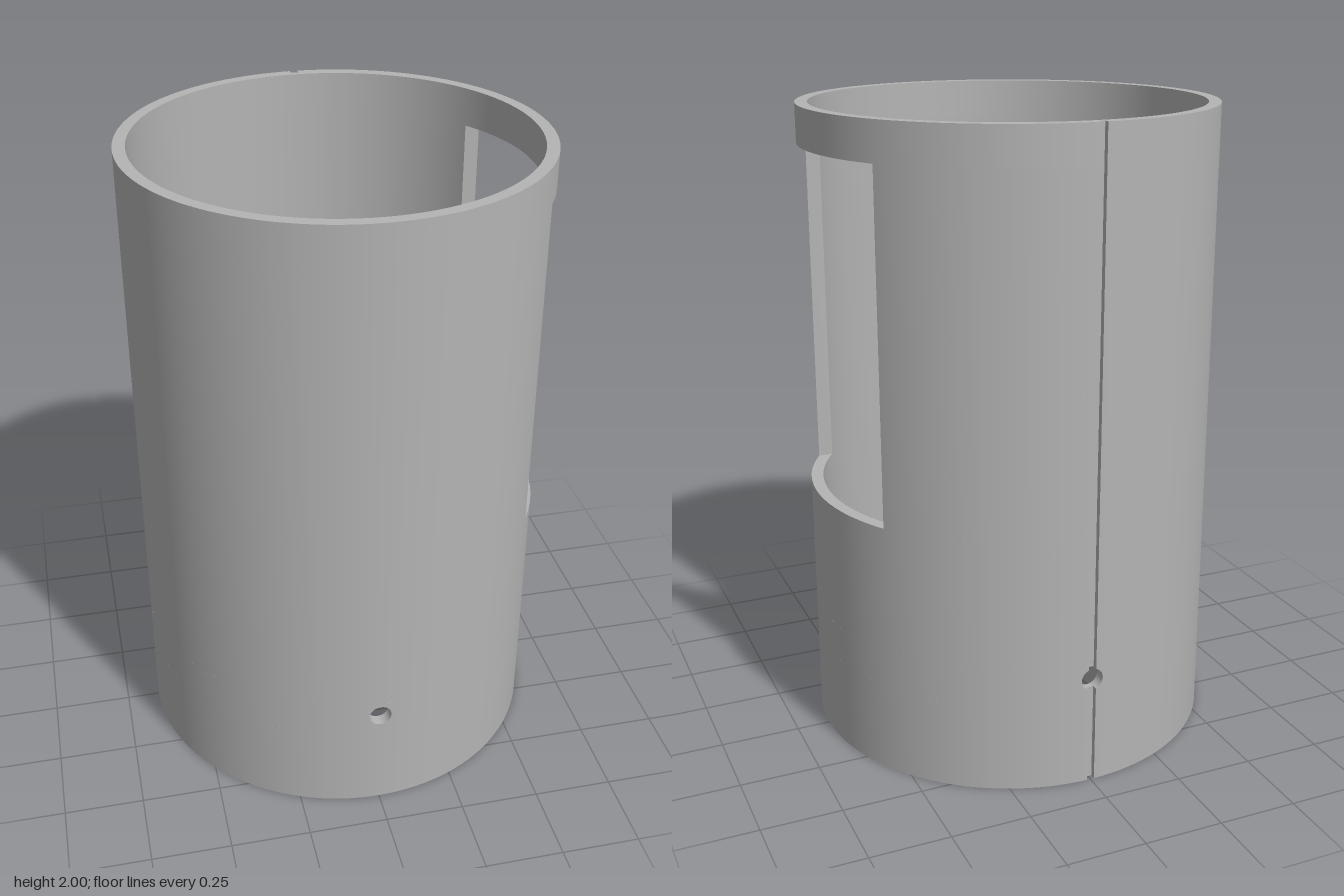
import * as THREE from 'three';
import { mergeGeometries } from 'three/addons/utils/BufferGeometryUtils.js';

const R = 0.643, RI = 0.605, LIP = 0.57;        // outer, inner and lip radii
const SLOT = 0.012, SLOT_R = 0.625;             // slot half width and floor radius
const WIN = 0.34;                               // window half width
const HOLE_R = 0.035, HOLE_Y = 0.345, PW = 0.06; // pin holes and their panels
const Y0 = HOLE_Y - PW, Y1 = HOLE_Y + PW;

const V = (x, y) => new THREE.Vector2(x, y);

function arc(r, a0, a1) {
  const n = Math.max(2, Math.ceil(Math.abs(a1 - a0) / (Math.PI * 2) * 128));
  return Array.from({ length: n + 1 }, (_, i) => {
    const a = a0 + (a1 - a0) * i / n;
    return V(r * Math.cos(a), r * Math.sin(a));
  });
}

// Gives curved walls true radial normals so that they shade smoothly
function smoothWalls(geo) {
  const p = geo.attributes.position, n = geo.attributes.normal;
  for (let i = 0; i < p.count; i++) {
    const l = Math.hypot(p.getX(i), p.getZ(i));
    const x = p.getX(i) / l, z = p.getZ(i) / l;
    const d = n.getX(i) * x + n.getZ(i) * z;
    if (Math.abs(d) > 0.9) n.setXYZ(i, x * Math.sign(d), 0, z * Math.sign(d));
  }
  return geo;
}

// Extrudes a plan outline upwards from y0 to y1
function layer(shape, y0, y1) {
  const g = new THREE.ExtrudeGeometry(shape, { depth: y1 - y0, bevelEnabled: false });
  g.rotateX(-Math.PI / 2).translate(0, y0, 0);
  return smoothWalls(g);
}

// Full ring whose outside is notched by the slot at the back
function ring(ri) {
  const d = Math.asin(SLOT / R), q = Math.PI / 2;
  const s = new THREE.Shape([...arc(R, q + d, q + Math.PI * 2 - d), V(SLOT, SLOT_R), V(-SLOT, SLOT_R)]);
  s.holes.push(new THREE.Path(arc(ri, 0, Math.PI * 2).slice(0, -1)));
  return s;
}

// Ring open at the window, with straight parallel cut sides
function windowRing() {
  const a = Math.asin(WIN / R), b = Math.asin(WIN / RI);
  const d = Math.asin(SLOT / R), q = Math.PI / 2, t = Math.PI * 2;
  return new THREE.Shape([
    ...arc(R, a, q - d), V(SLOT, SLOT_R), V(-SLOT, SLOT_R), ...arc(R, q + d, t - a),
    ...arc(RI, t - b, b),
  ]);
}

// Half ring on one side, leaving room for the drilled panels
function sideArc(turn) {
  const a = Math.PI / 2 - Math.asin(PW / R), b = Math.PI / 2 - Math.asin(PW / RI);
  return new THREE.Shape([...arc(R, turn - a, turn + a), ...arc(RI, turn + b, turn - b)]);
}

// Bends an upright panel around the axis between two radii
function panel(shape, r0, r1) {
  const g = new THREE.ExtrudeGeometry(shape, { depth: 1, bevelEnabled: false });
  const p = g.attributes.position;
  for (let i = 0; i < p.count; i++) {
    const r = p.getZ(i) > 0.5 ? r1 : r0;
    p.setZ(i, Math.sqrt(r * r - p.getX(i) ** 2));
  }
  g.computeVertexNormals();
  return smoothWalls(g);
}

// Panel outline with a round hole
function drilled() {
  const xs = [-1, -0.5, 0, 0.5, 1].map((k) => k * PW);
  const s = new THREE.Shape([...xs.map((x) => V(x, Y0)), ...xs.reverse().map((x) => V(x, Y1))]);
  const hole = arc(HOLE_R, 0, Math.PI * 2).filter((_, i) => i % 4 === 0).slice(0, -1);
  s.holes.push(new THREE.Path(hole.map((v) => V(v.x, v.y + HOLE_Y))));
  return s;
}

// Panel half beside the slot, bitten by the hole
function slotSide(sign) {
  const c = Math.acos(SLOT / HOLE_R), m = (SLOT + PW) / 2;
  const pts = [V(SLOT, Y0), V(m, Y0), V(PW, Y0), V(PW, Y1), V(m, Y1), V(SLOT, Y1)];
  for (let i = 0; i <= 16; i++) {
    const a = c - 2 * c * i / 16;
    pts.push(V(HOLE_R * Math.cos(a), HOLE_Y + HOLE_R * Math.sin(a)));
  }
  return new THREE.Shape(pts.map((v) => V(v.x * sign, v.y)));
}

export function createModel() {
  const group = new THREE.Group();
  const metal = new THREE.MeshStandardMaterial({ color: 0xb4b4b4 });
  metal.name = 'plain grey';
  const add = (name, ...geos) => {
    const mesh = new THREE.Mesh(mergeGeometries(geos), metal);
    mesh.name = name;
    group.add(mesh);
  };

  // Narrower lip at the foot of the tube
  add('bottomLip', layer(ring(LIP), 0, 0.04));

  // Lower wall, drilled at front and back
  add('lowerWall',
    layer(ring(RI), 0.04, Y0),
    layer(sideArc(0), Y0, Y1),
    layer(sideArc(Math.PI), Y0, Y1),
    layer(ring(RI), Y1, 0.81));
  add('frontPinHole', panel(drilled(), RI, R));
  add('backPinHole', ...[
    panel(drilled(), RI, SLOT_R),
    panel(slotSide(1), SLOT_R, R),
    panel(slotSide(-1), SLOT_R, R),
  ].map((g) => g.rotateY(Math.PI)));

  // Wall around the side window, and the rim above it
  add('windowWall', layer(windowRing(), 0.81, 1.88));
  add('topRim', layer(ring(RI), 1.88, 2));
  return group;
}
